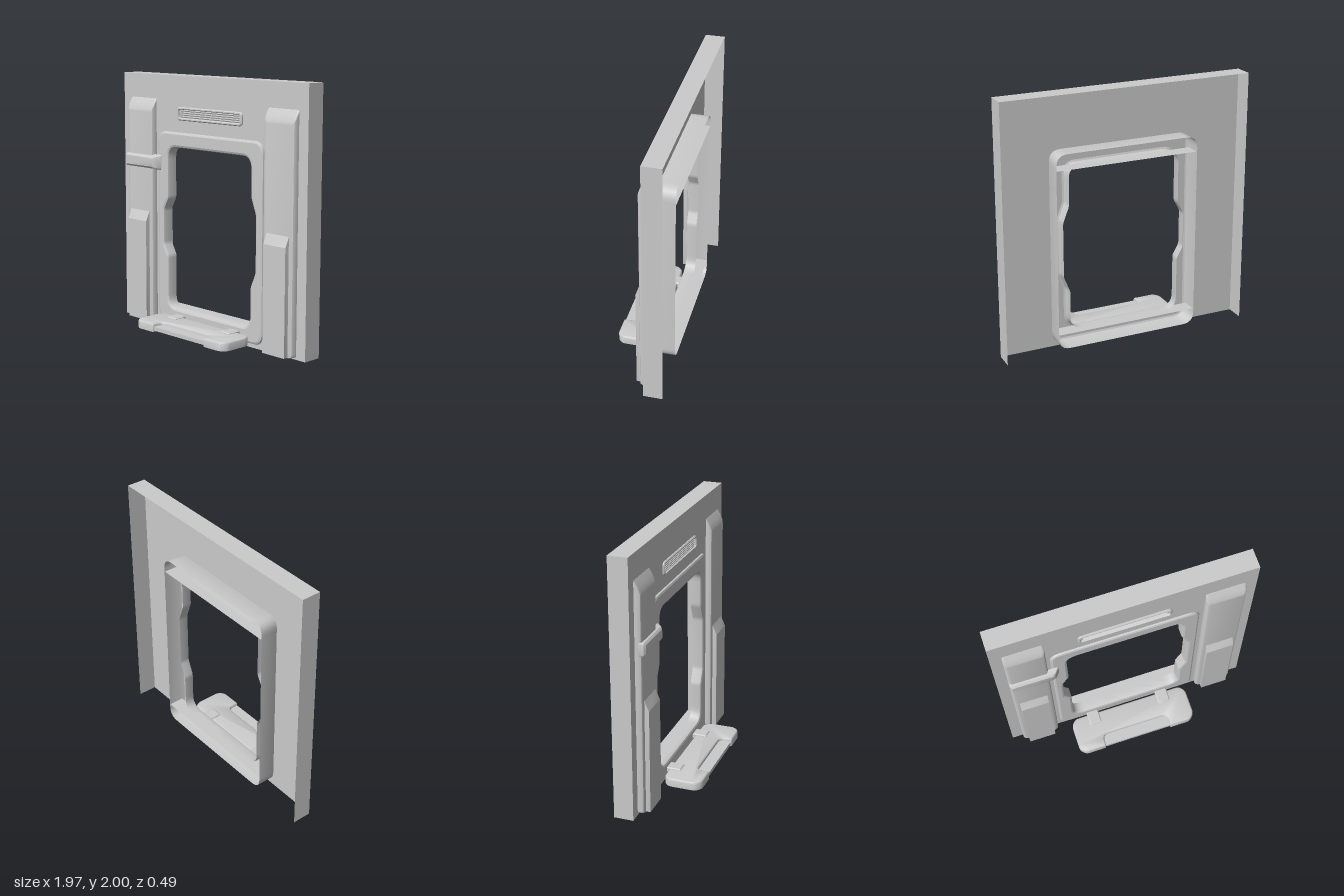
import * as THREE from 'three';
import { toCreasedNormals } from 'three/addons/utils/BufferGeometryUtils.js';

const mat = new THREE.MeshStandardMaterial({ color: 0xcccccc, side: THREE.DoubleSide });

// Rounded polygon: corners [x, y, radius], counter-clockwise
function roundPoly(corners, seg = 6) {
  const out = [];
  corners.forEach(([x, y, r], i) => {
    const p = new THREE.Vector2(x, y);
    if (!r) { out.push(p); return; }
    const n = corners.length;
    const toward = (c) => new THREE.Vector2(c[0], c[1]).sub(p).normalize().multiplyScalar(r).add(p);
    const a = toward(corners[(i + n - 1) % n]), b = toward(corners[(i + 1) % n]);
    // a quadratic through a slightly pushed control point approximates an arc
    const c = p.clone().lerp(a.clone().add(b).multiplyScalar(0.5), -0.1);
    out.push(...new THREE.QuadraticBezierCurve(a, c, b).getPoints(seg));
  });
  return out;
}

const rect = (x0, y0, x1, y1, r) =>
  roundPoly([[x0, y0, r], [x1, y0, r], [x1, y1, r], [x0, y1, r]]);

// Shrink (d > 0) or grow (d < 0) a counter-clockwise outline with mitred corners
function inset(pts, d) {
  const n = pts.length;
  const normal = (a, b) => new THREE.Vector2(a.y - b.y, b.x - a.x).normalize();
  return pts.map((p, i) => {
    const m = normal(pts[(i + n - 1) % n], p), k = normal(p, pts[(i + 1) % n]);
    return m.clone().add(k).multiplyScalar(d / (1 + m.dot(k))).add(p);
  });
}

// Skin a stack of [outline, z] levels, optionally capping the last one
function loft(levels, { cap = true, closed = true, crease = 0.6 } = {}) {
  const pos = [];
  const put = (p, z) => pos.push(p.x, p.y, z);
  for (let l = 0; l + 1 < levels.length; l++) {
    const [a, za] = levels[l], [b, zb] = levels[l + 1], n = a.length;
    for (let i = 0; i < (closed ? n : n - 1); i++) {
      const j = (i + 1) % n;
      put(a[i], za); put(a[j], za); put(b[j], zb);
      put(a[i], za); put(b[j], zb); put(b[i], zb);
    }
  }
  if (cap) {
    const [top, z] = levels[levels.length - 1];
    THREE.ShapeUtils.triangulateShape(top, []).forEach((f) => f.forEach((i) => put(top[i], z)));
  }
  const g = new THREE.BufferGeometry();
  g.setAttribute('position', new THREE.Float32BufferAttribute(pos, 3));
  g.computeVertexNormals();
  return toCreasedNormals(g, crease);
}

// Flat sheet with one hole
function sheet(outer, hole, z) {
  const s = new THREE.Shape(outer);
  s.holes.push(new THREE.Path(hole));
  return new THREE.ShapeGeometry(s).translate(0, 0, z);
}

export function createModel() {
  const model = new THREE.Group();
  const add = (name, geo, parent = model) => {
    const m = new THREE.Mesh(geo, mat);
    m.name = name;
    parent.add(m);
    return m;
  };
  const box = (name, w, h, d, x, y, z) =>
    add(name, new THREE.BoxGeometry(w, h, d).translate(x, y, z));

  const FACE = -0.095, BACK = -0.245;
  const frameOuter = rect(-0.57, 0.03, 0.57, 1.56, 0.1);

  // Wall panel: front sheet with side and top flanges, open behind and below
  const wall = [[-0.987, 0], [0.987, 0], [0.987, 2], [-0.987, 2]].map((p) => new THREE.Vector2(...p));
  add('wallFace', sheet(wall, frameOuter, FACE));
  const rim = [wall[1], wall[2], wall[3], wall[0]];
  add('wallFlange', loft([[rim, BACK], [rim, FACE]], { cap: false, closed: false }));

  // Window frame: outer sleeve, bevelled face, notched opening
  const opening = roundPoly([
    [-0.45, 0.15, 0.1], [0.445, 0.15, 0.1],
    [0.445, 0.46, 0.02], [0.495, 0.58, 0.02], [0.495, 1.01, 0.02], [0.445, 1.14, 0.02],
    [0.445, 1.44, 0.1], [-0.45, 1.44, 0.1],
    [-0.45, 1.03, 0.02], [-0.5, 0.94, 0.02], [-0.5, 0.66, 0.02], [-0.45, 0.57, 0.02],
  ]);
  const frame = new THREE.Group();
  frame.name = 'windowFrame';
  model.add(frame);
  const faceOuter = inset(frameOuter, 0.018), faceInner = inset(opening, -0.02);
  add('frameSleeve', loft([[frameOuter, -0.235], [frameOuter, FACE],
    [inset(frameOuter, 0.005), -0.084], [faceOuter, -0.078]], { cap: false }), frame);
  add('frameFace', sheet(faceOuter, faceInner, -0.078), frame);
  add('frameOpening', loft([[faceInner, -0.078], [inset(opening, -0.006), -0.084],
    [opening, -0.098], [opening, -0.165]], { cap: false }), frame);
  // Horizontal webs behind the frame, above and below the opening
  for (const y of [0.15, 1.44]) {
    add('frameWeb', new THREE.PlaneGeometry(1.13, 0.12).rotateX(-Math.PI / 2).translate(0, y, -0.175), frame);
  }

  // Pillars with sloped tops, each carrying a raised lower plate
  for (const side of [-1, 1]) {
    const x = side * 0.75;
    add('pillar', loft([
      [rect(x - 0.15, 0.015, x + 0.15, 1.81, 0.02), FACE],
      [rect(x - 0.15, 0.015, x + 0.15, 1.765, 0.02), -0.068],
      [rect(x - 0.142, 0.015, x + 0.142, 1.73, 0.02), -0.052],
      [rect(x - 0.128, 0.015, x + 0.128, 1.71, 0.015), -0.046],
    ]));
    add('pillarPlate', loft([
      [rect(x - 0.11, 0.015, x + 0.11, 0.91, 0.004), -0.047],
      [rect(x - 0.108, 0.015, x + 0.108, 0.83, 0.004), -0.012],
    ], { crease: 0.3 }));
  }

  // Latch strap across one pillar, tapered toward the frame
  add('latchStrap', loft([
    [rect(-0.9, 1.25, -0.52, 1.37, 0.015), -0.07],
    [rect(-0.9, 1.255, -0.525, 1.365, 0.015), -0.06],
    [rect(-0.898, 1.26, -0.55, 1.36, 0.015), -0.03],
    [rect(-0.885, 1.275, -0.57, 1.345, 0.012), -0.017],
  ]));

  // Vent: raised rim, shallow recess and slats
  const vent = rect(-0.35, 1.655, 0.35, 1.76, 0.035);
  add('ventRim', loft([[vent, FACE], [vent, -0.086], [inset(vent, 0.007), -0.08],
    [inset(vent, 0.015), -0.08], [inset(vent, 0.021), -0.093]]));
  for (let i = 0; i < 4; i++) {
    const slat = box('ventSlat', 0.63, 0.009, 0.007, 0, 0, 0);
    slat.position.set(0, 1.684 + i * 0.0157, -0.089);
    slat.rotation.x = 0.5;
  }

  // Fold-down shelf: hollow below, with a notch at its front edge
  const shelfOutline = roundPoly([
    [-0.45, -0.243, 0.03], [-0.28, -0.243, 0.01], [-0.275, -0.143, 0.05], [0.275, -0.143, 0.05],
    [0.28, -0.243, 0.01], [0.45, -0.243, 0.03], [0.493, -0.2, 0.03], [0.493, 0.01, 0.03],
    [0.45, 0.055, 0.03], [-0.45, 0.055, 0.03], [-0.493, 0.01, 0.03], [-0.493, -0.2, 0.03],
  ], 4);
  add('shelf', loft([[shelfOutline, 0.037], [shelfOutline, 0.09],
    [inset(shelfOutline, 0.004), 0.098], [inset(shelfOutline, 0.011), 0.102]]).rotateX(-Math.PI / 2));
  box('shelfNotchFloor', 0.555, 0.03, 0.095, 0, 0.063, 0.188);

  // Hinge tabs joining shelf and frame
  for (const x of [-0.3, 0.295]) {
    const tab = rect(x - 0.05, -0.035, x + 0.05, 0.08, 0.012);
    add('hingeTab', loft([[tab, 0.075], [tab, 0.105], [inset(tab, 0.008), 0.112]]).rotateX(-Math.PI / 2));
  }
  return model;
}
